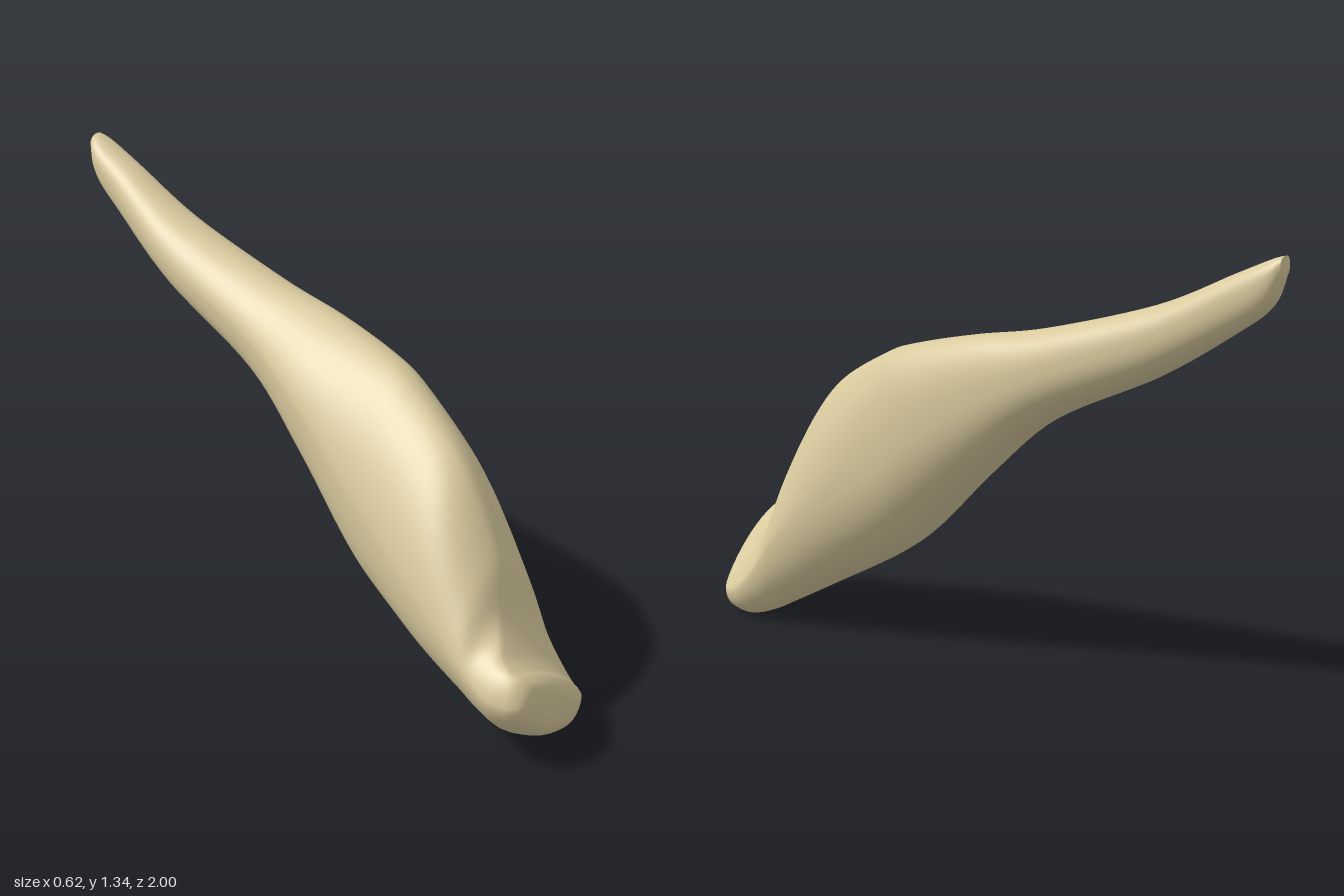
import * as THREE from 'three';

// Cross-sections from the blunt base (front) to the slim tip (back).
// Each row: z, then x,y of the leftmost, top, rightmost and bottom points.
const SECTIONS = [
  [1.0, -0.2, 0.2, -0.16, 0.22, -0.05, 0.15, -0.09, 0.13],
  [0.99, -0.265, 0.22, -0.21, 0.27, 0.02, 0.11, -0.03, 0.065],
  [0.965, -0.295, 0.22, -0.24, 0.3, 0.085, 0.09, 0.01, 0.025],
  [0.93, -0.307, 0.22, -0.25, 0.315, 0.11, 0.09, 0.02, 0.01],
  [0.88, -0.31, 0.23, -0.22, 0.338, 0.13, 0.12, 0.02, 0.003],
  [0.81, -0.293, 0.26, -0.13, 0.4, 0.148, 0.19, 0.025, 0.025],
  [0.74, -0.277, 0.31, -0.05, 0.555, 0.167, 0.28, 0.025, 0.06],
  [0.58, -0.235, 0.42, 0.0, 0.775, 0.2, 0.43, 0.02, 0.145],
  [0.36, -0.155, 0.55, 0.08, 0.91, 0.225, 0.58, 0.01, 0.265],
  [0.22, -0.11, 0.64, 0.12, 0.962, 0.245, 0.69, 0.02, 0.37],
  [0.0, -0.04, 0.8, 0.16, 1.015, 0.265, 0.82, 0.08, 0.58],
  [-0.24, 0.04, 0.92, 0.18, 1.06, 0.283, 0.93, 0.13, 0.78],
  [-0.6, 0.1, 1.06, 0.21, 1.165, 0.3, 1.07, 0.19, 0.955],
  [-0.85, 0.17, 1.2, 0.245, 1.28, 0.308, 1.2, 0.24, 1.11],
  [-0.96, 0.2, 1.275, 0.255, 1.33, 0.307, 1.27, 0.255, 1.195],
  [-1.0, 0.23, 1.315, 0.26, 1.343, 0.29, 1.315, 0.26, 1.285],
];
const STEPS = 7; // rings between two sections
const QUARTER = 12; // points per quarter of a ring
const { smoothstep } = THREE.MathUtils;

export function createModel() {
  const bone = new THREE.MeshStandardMaterial({ color: 0xd8c99d });
  bone.name = 'bone';

  // One smooth rail through each of the four extreme points
  const rails = [1, 3, 5, 7].map((k) => new THREE.CatmullRomCurve3(
    SECTIONS.map((s) => new THREE.Vector3(s[k], s[k + 1], s[0])), false, 'catmullrom'));

  const rings = (SECTIONS.length - 1) * STEPS;
  const n = QUARTER * 4;
  const pos = [];
  const index = [];

  for (let i = 0; i <= rings; i++) {
    const p = rails.map((r) => r.getPoint(i / rings));
    // Fullness of each quarter: 1 is round, less is boxy, 2 is a straight bevel.
    // The base is a slanted slab, the shank has a boxy upper right edge.
    const z = p[0].z;
    const base = smoothstep(z, 0.5, 0.95);
    const power = [
      1 + 0.3 * smoothstep(z, -0.9, -0.1) - 0.15 * base,
      0.78 + 0.3 * smoothstep(z, 0.25, 0.6) + 0.45 * base,
      0.95,
      0.9 + 0.35 * base,
    ];
    for (let q = 0; q < 4; q++) {
      const a = p[q], b = p[(q + 1) % 4];
      for (let j = 0; j < QUARTER; j++) {
        const t = (j / QUARTER) * Math.PI / 2;
        const near = 1 - Math.pow(Math.cos(t), power[q]);
        const far = Math.pow(Math.sin(t), power[q]);
        // Leave the side points vertically, the top and bottom points sideways
        const [fx, fy] = q % 2 === 0 ? [near, far] : [far, near];
        pos.push(a.x + (b.x - a.x) * fx, a.y + (b.y - a.y) * fy, z);
      }
    }
  }

  // Skin between rings
  for (let i = 0; i < rings; i++) {
    for (let j = 0; j < n; j++) {
      const k = (j + 1) % n;
      const a = i * n + j, b = i * n + k, c = a + n, d = b + n;
      index.push(a, b, c, b, d, c);
    }
  }

  // Close both ends with a fan
  for (const ring of [0, rings]) {
    const c = new THREE.Vector3();
    rails.forEach((r) => c.addScaledVector(r.getPoint(ring / rings), 0.25));
    const centre = pos.length / 3;
    pos.push(c.x, c.y, c.z);
    for (let j = 0; j < n; j++) {
      const a = ring * n + j, b = ring * n + (j + 1) % n;
      if (ring === 0) index.push(centre, b, a);
      else index.push(centre, a, b);
    }
  }

  const geometry = new THREE.BufferGeometry();
  geometry.setAttribute('position', new THREE.Float32BufferAttribute(pos, 3));
  geometry.setIndex(index);
  geometry.computeVertexNormals();

  const body = new THREE.Mesh(geometry, bone);
  body.name = 'toothBody';
  const group = new THREE.Group();
  group.name = 'tooth';
  group.add(body);
  return group;
}
